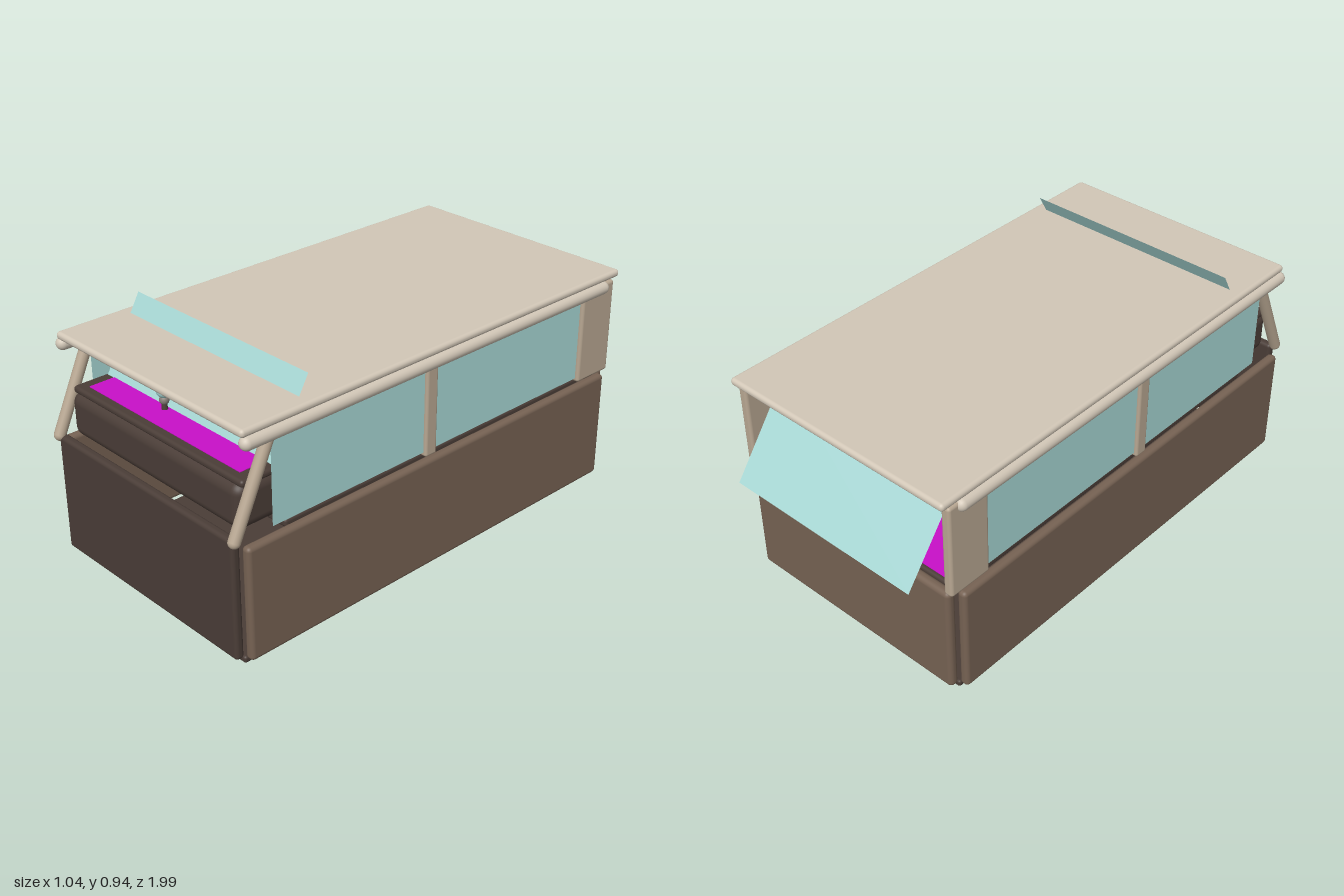
import * as THREE from 'three';
import { RoundedBoxGeometry } from 'three/addons/geometries/RoundedBoxGeometry.js';

const mat = (name, color, side = THREE.FrontSide) => {
  const m = new THREE.MeshStandardMaterial({ color, side });
  m.name = name;
  return m;
};

export function createModel() {
  const model = new THREE.Group();
  model.name = 'cabin';
  const roofCream = mat('roof cream', 0xd2c7b7);
  const pillarBeige = mat('pillar beige', 0xb8a792);
  const panelBrown = mat('panel brown', 0x766253);
  const darkBrown = mat('dark brown', 0x4a3d37);
  const magenta = mat('magenta trim', 0xc810c8);
  const glass = mat('pale teal glass', 0xa8d8d5, THREE.DoubleSide);
  const grey = mat('ornament grey', 0x857d76);

  const add = (name, geometry, material, x = 0, y = 0, z = 0) => {
    const mesh = new THREE.Mesh(geometry, material);
    mesh.name = name;
    mesh.position.set(x, y, z);
    model.add(mesh);
    return mesh;
  };
  // Rounded box given by its limits on each axis
  const block = (name, material, [x0, x1], [y0, y1], [z0, z1], r) =>
    add(name, new RoundedBoxGeometry(x1 - x0, y1 - y0, z1 - z0, 4, r), material,
      (x0 + x1) / 2, (y0 + y1) / 2, (z0 + z1) / 2);
  // Capsule between two points, rounded tips included
  const rod = (name, material, a, b, r) => {
    const from = new THREE.Vector3(...a), to = new THREE.Vector3(...b);
    const dir = to.clone().sub(from);
    const mesh = add(name, new THREE.CapsuleGeometry(r, dir.length(), 8, 20), material);
    mesh.position.copy(from).add(to).multiplyScalar(0.5);
    mesh.quaternion.setFromUnitVectors(new THREE.Vector3(0, 1, 0), dir.normalize());
    return mesh;
  };
  // Sloping pane from a lower edge to an upper edge
  const slopingPane = (name, halfWidth, yLow, zLow, yHigh, zHigh) => {
    const dy = yHigh - yLow, dz = zHigh - zLow;
    const pane = add(name, new THREE.PlaneGeometry(halfWidth * 2, Math.hypot(dy, dz)), glass,
      0, (yLow + yHigh) / 2, (zLow + zHigh) / 2);
    pane.rotation.x = Math.atan2(dz, dy);
  };

  // Lower body
  block('floor', darkBrown, [-0.48, 0.48], [0, 0.027], [-0.85, 0.945], 0.01);
  block('frontPanel', darkBrown, [-0.48, 0.48], [0.027, 0.49], [0.945, 0.98], 0.014);
  block('rearPanel', panelBrown, [-0.48, 0.48], [0.027, 0.465], [-0.89, -0.85], 0.018);

  // Interior deck, dashboard and bench
  block('deck', darkBrown, [-0.47, 0.47], [0.435, 0.467], [-0.85, 0.75], 0.012);
  add('deckTop', new THREE.BoxGeometry(0.91, 0.004, 1.57), magenta, 0, 0.467, -0.05);
  block('dashboard', darkBrown, [-0.46, 0.46], [0.485, 0.655], [0.70, 0.932], 0.04);
  block('dashboardLid', darkBrown, [-0.46, 0.46], [0.645, 0.672], [0.69, 0.915], 0.012);
  add('dashboardTop', new THREE.BoxGeometry(0.82, 0.004, 0.17), magenta, 0, 0.672, 0.795);
  block('bench', panelBrown, [-0.43, 0.43], [0.48, 0.64], [-0.66, -0.52], 0.04);

  // Dashboard ornament
  add('ornamentBase', new THREE.CylinderGeometry(0.008, 0.013, 0.03, 16), darkBrown, -0.095, 0.683, 0.79);
  add('ornamentBody', new THREE.SphereGeometry(0.018, 20, 14), grey, -0.095, 0.708, 0.79);
  add('ornamentHead', new THREE.SphereGeometry(0.027, 24, 16), glass, -0.095, 0.744, 0.79);

  // Mirrored sides
  for (const s of [-1, 1]) {
    const span = (a, b) => (s > 0 ? [a, b] : [-b, -a]);
    block('sidePanel', panelBrown, span(0.48, 0.518), [0.027, 0.463], [-0.85, 0.945], 0.016);
    rod('roofRail', roofCream, [s * 0.494, 0.825, -0.825], [s * 0.494, 0.825, 0.917], 0.025);
    rod('frontPillar', pillarBeige, [s * 0.483, 0.488, 0.972], [s * 0.483, 0.82, 0.818], 0.022);
    block('middlePillar', pillarBeige, span(0.467, 0.498), [0.463, 0.82], [0.07, 0.125], 0.01);
    block('rearPillar', pillarBeige, span(0.462, 0.5), [0.465, 0.842], [-0.89, -0.71], 0.012);
    const pane = add('sideWindow', new THREE.PlaneGeometry(1.53, 0.335), glass, s * 0.485, 0.6475, 0.05);
    pane.rotation.y = s * Math.PI / 2;
    // Small hooks under the roof
    add('roofHook', new THREE.CylinderGeometry(0.003, 0.003, 0.014, 8), darkBrown, s * 0.237, 0.84, -0.7);
  }

  // Roof and sloping glass
  block('roof', roofCream, [-0.5, 0.5], [0.845, 0.875], [-0.92, 0.94], 0.014);
  slopingPane('windscreen', 0.447, 0.5, 0.873, 0.945, 0.62);
  slopingPane('rearWindow', 0.415, 0.51, -1, 0.842, -0.755);

  return model;
}
